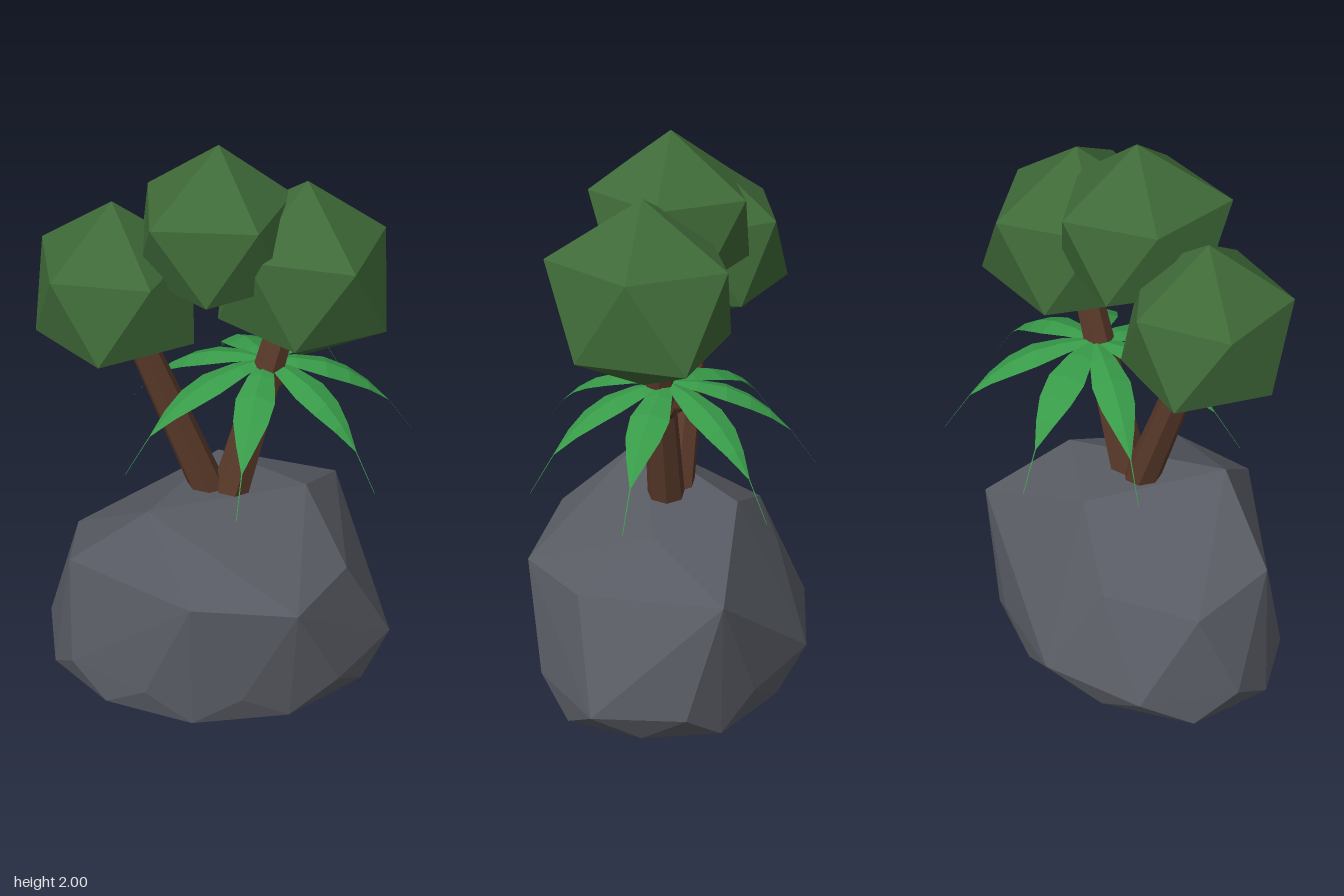
import * as THREE from 'three';
import { ConvexGeometry } from 'three/addons/geometries/ConvexGeometry.js';

const V = (x, y, z) => new THREE.Vector3(x, y, z);

function material(name, color, extra = {}) {
  const m = new THREE.MeshStandardMaterial({ color, flatShading: true, ...extra });
  m.name = name;
  return m;
}

function add(parent, name, geometry, mat) {
  const mesh = new THREE.Mesh(geometry, mat);
  mesh.name = name;
  parent.add(mesh);
  return mesh;
}

// Convex boulder from its corner points
function rockGeometry() {
  const corners = [
    // flat base
    [0.48, 0, 0.02], [0.43, 0, 0.29], [0.14, 0, 0.445], [-0.2, 0, 0.435], [-0.48, 0, 0.27],
    [-0.635, 0, 0.02], [-0.54, 0, -0.27], [-0.23, 0, -0.4], [0.12, 0, -0.39], [0.4, 0, -0.24],
    // low belt
    [0.555, 0.11, 0.18], [0.32, 0.11, 0.41], [-0.03, 0.11, 0.47], [-0.355, 0.11, 0.375], [-0.585, 0.11, 0.165],
    [-0.63, 0.11, -0.14], [-0.41, 0.11, -0.41], [-0.035, 0.11, -0.47], [0.28, 0.11, -0.335], [0.51, 0.11, -0.14],
    // shoulder
    [-0.57, 0.49, 0.08], [-0.205, 0.51, 0.455], [0.155, 0.465, 0.49], [0.37, 0.475, 0.26],
    [0.435, 0.525, -0.25], [-0.185, 0.44, -0.335], [-0.51, 0.43, -0.22],
    // crown
    [-0.305, 0.735, 0.18], [0.27, 0.67, 0.02], [0, 0.685, -0.22],
  ];
  return new ConvexGeometry(corners.map((c) => V(...c)));
}

// Tapered, faceted trunk between two points
function trunkGeometry(from, to, r0, r1) {
  const dir = to.clone().sub(from);
  const g = new THREE.CylinderGeometry(r1, r0, dir.length(), 7);
  g.applyQuaternion(new THREE.Quaternion().setFromUnitVectors(V(0, 1, 0), dir.clone().normalize()));
  const mid = from.clone().add(to).multiplyScalar(0.5);
  return g.translate(mid.x, mid.y, mid.z);
}

// Uneven twenty-sided crown: two poles and two staggered rings of five corners
function crownGeometry({ r, upperY, upper, lowerY, lower }) {
  const points = [V(0, r, 0), V(0, -r, 0)];
  for (let i = 0; i < 5; i++) {
    const a = (i * Math.PI * 2) / 5, b = a + Math.PI / 5;
    points.push(V(upper[i] * Math.cos(a), upperY, upper[i] * Math.sin(a)));
    points.push(V(lower[i] * Math.cos(b), lowerY, lower[i] * Math.sin(b)));
  }
  return new ConvexGeometry(points);
}

// Drooping leaf along +x, folded along its midrib and ending in a hair-thin tip
function frondGeometry() {
  const sections = [[0, 0.015], [0.1, 0.045], [0.2, 0.066], [0.28, 0.058], [0.35, 0.034], [0.42, 0.002], [0.51, 0.001]];
  const rows = sections.map(([r, w]) => {
    const y = -0.31 * Math.pow(r / 0.51, 2.7);
    return [V(r, y - w * 0.3, -w), V(r, y, 0), V(r, y - w * 0.3, w)];
  });
  const points = [];
  for (let i = 0; i < rows.length - 1; i++) {
    for (let j = 0; j < 2; j++) {
      const a = rows[i][j], b = rows[i][j + 1], c = rows[i + 1][j + 1], d = rows[i + 1][j];
      points.push(a, b, c, a, c, d);
    }
  }
  const g = new THREE.BufferGeometry().setFromPoints(points);
  g.computeVertexNormals();
  return g;
}

export function createModel() {
  const model = new THREE.Group();
  model.name = 'rockWithTrees';

  const stone = material('stone grey', 0x595c64);
  const bark = material('bark brown', 0x5a3a2a);
  const foliage = material('foliage green', 0x3f6a38);
  const leaf = material('frond green', 0x389b49, { side: THREE.DoubleSide });
  const nut = material('nut brown', 0x4a2e20);

  add(model, 'rock', rockGeometry(), stone);

  // Two trunks in a V
  add(model, 'rightTrunk', trunkGeometry(V(-0.04, 0.6, 0.01), V(-0.35, 1.45, -0.02), 0.065, 0.045), bark);
  add(model, 'leftTrunk', trunkGeometry(V(-0.02, 0.6, 0.03), V(0.2, 1.42, 0.025), 0.068, 0.046), bark);

  // Faceted crowns
  const crowns = [
    {
      name: 'rightCrown', at: [-0.37, 1.51, -0.04], r: 0.29,
      upperY: 0.1, upper: [0.26, 0.277, 0.272, 0.267, 0.262],
      lowerY: -0.16, lower: [0.29, 0.285, 0.263, 0.283, 0.27],
    },
    {
      name: 'topCrown', at: [-0.035, 1.71, 0.02], r: 0.29,
      upperY: 0.1, upper: [0.24, 0.269, 0.304, 0.256, 0.274],
      lowerY: -0.155, lower: [0.25, 0.26, 0.265, 0.26, 0.24],
    },
    {
      name: 'leftCrown', at: [0.245, 1.547, 0.055], r: 0.322,
      upperY: 0.135, upper: [0.26, 0.312, 0.275, 0.28, 0.305],
      lowerY: -0.155, lower: [0.29, 0.265, 0.29, 0.285, 0.325],
    },
  ];
  for (const crown of crowns) {
    add(model, crown.name, crownGeometry(crown), foliage).position.set(...crown.at);
  }

  // Ring of palm fronds around the left trunk: direction in degrees, length factor
  const palm = new THREE.Group();
  palm.name = 'palmFronds';
  palm.position.set(0.13, 1.19, 0);
  const frond = frondGeometry();
  const fronds = [[5, 0.99], [54, 0.97], [111, 1.01], [162.5, 1.04], [214, 1.03], [258, 0.98], [311, 1.02]];
  for (const [angle, length] of fronds) {
    const mesh = add(palm, 'frond', frond, leaf);
    mesh.rotation.y = -THREE.MathUtils.degToRad(angle);
    mesh.scale.x = length;
  }
  model.add(palm);

  // Small nuts under the fronds
  for (const [x, y, z] of [[0.173, 1.095, -0.01], [0.125, 1.1, -0.035]]) {
    add(model, 'nut', new THREE.IcosahedronGeometry(0.027, 0), nut).position.set(x, y, z);
  }

  return model;
}
